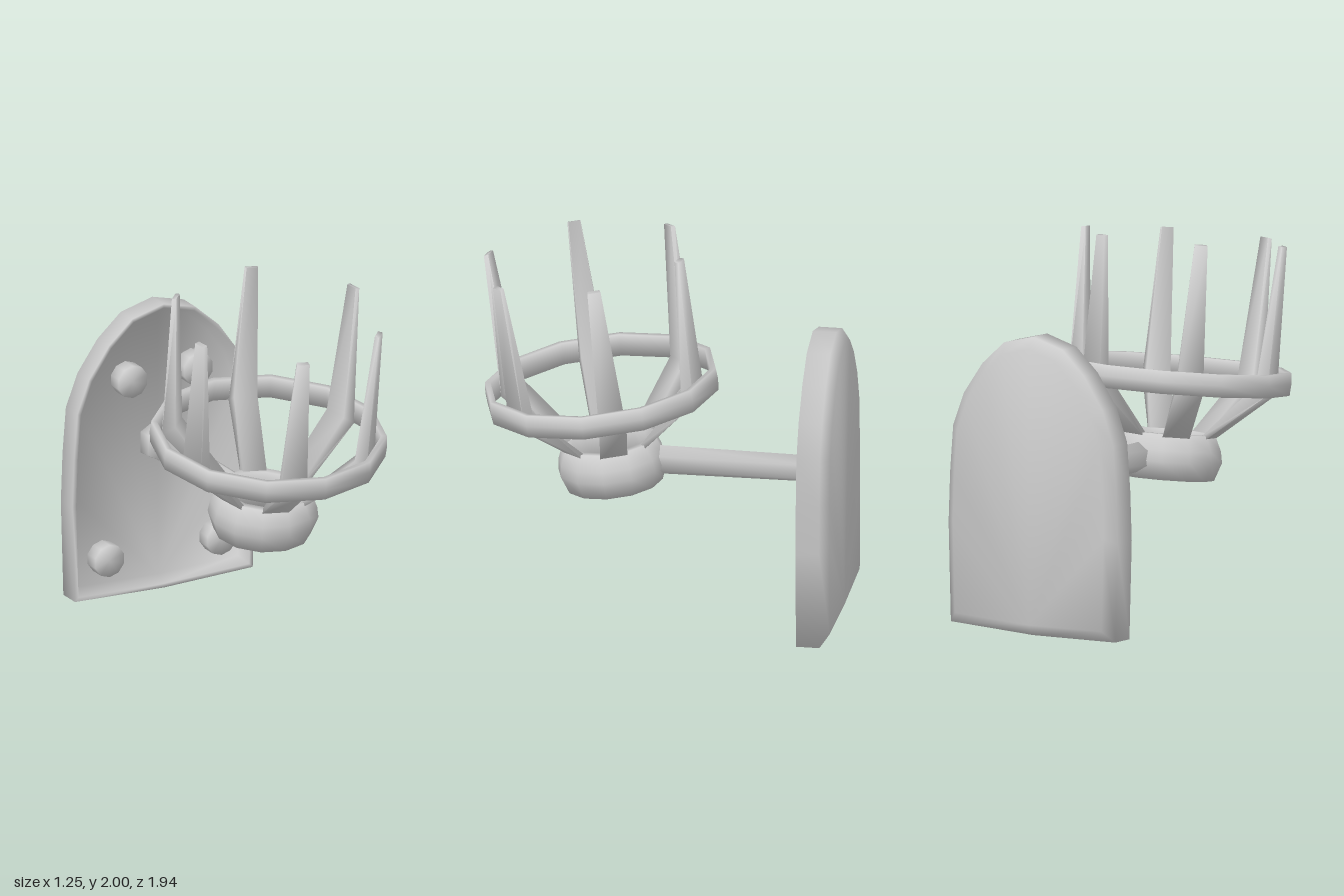
import * as THREE from 'three';
import { toCreasedNormals } from 'three/addons/utils/BufferGeometryUtils.js';

const material = new THREE.MeshStandardMaterial({ color: 0xcccccc, side: THREE.DoubleSide });

// Soft shading across every edge up to a right angle
function part(name, geometry) {
  const mesh = new THREE.Mesh(toCreasedNormals(geometry, 1.7), material);
  mesh.name = name;
  return mesh;
}

// Skins a list of equal-length loops (counter-clockwise seen from the last loop) and caps both ends.
function loft(loops) {
  const n = loops[0].length;
  const positions = loops.flat(2);
  const index = [];
  for (let s = 0; s < loops.length - 1; s++) {
    for (let i = 0; i < n; i++) {
      const a = s * n + i, b = s * n + (i + 1) % n;
      index.push(a, b, b + n, a, b + n, a + n);
    }
  }
  const last = (loops.length - 1) * n;
  for (let i = 1; i < n - 1; i++) {
    index.push(0, i + 1, i, last, last + i, last + i + 1);
  }
  const geometry = new THREE.BufferGeometry();
  geometry.setAttribute('position', new THREE.Float32BufferAttribute(positions, 3));
  geometry.setIndex(index);
  return geometry;
}

// Closed ring-shaped lathe from a profile of [radius, height]
function closedLathe(profile, sides) {
  const points = [...profile, profile[0]].map(([r, y]) => new THREE.Vector2(r, y));
  return new THREE.LatheGeometry(points, sides);
}

// Arched plate: bevelled back, narrow rim and a shallow dish at the front
function createWallPlate() {
  // Right half of the arched outline, bottom to top, then mirrored
  const half = [[0.535, 0.02], [0.55, 0.55], [0.54, 0.82], [0.52, 1.07], [0.45, 1.25], [0.33, 1.42], [0.19, 1.545]];
  const outline = [[0, 0.003], ...half, [0, 1.595], ...half.map(([x, y]) => [-x, y]).reverse()];
  const loop = (z, sx, sy) => outline.map(([x, y]) => [x * sx, 0.8 + (y - 0.8) * sy, z]);
  return part('wallPlate', loft([
    loop(-0.97, 0.89, 0.925),
    loop(-0.925, 1, 1),
    loop(-0.8, 1, 1),
    loop(-0.8, 0.96, 0.973),
    loop(-0.865, 0.9, 0.93),
  ]));
}

function createProng() {
  // Each station: outer [radius, y], inner [radius, y], width
  const stations = [
    [[0.225, 0.085], [0.205, 0.105], 0.145],
    [[0.56, 0.36], [0.49, 0.41], 0.145],
    [[0.567, 1.142], [0.543, 1.147], 0.07],
  ];
  return loft(stations.map(([[ro, yo], [ri, yi], w]) => [
    [-w / 2, yo, ro],
    [w / 2, yo, ro],
    [w * 0.44, yi, ri],
    [-w * 0.44, yi, ri],
  ]));
}

export function createModel() {
  const model = new THREE.Group();
  model.name = 'wallTorchHolder';
  model.add(createWallPlate());

  // Rivets standing in the dish
  for (const side of [-1, 1]) {
    for (const [x, y] of [[0.337, 0.22], [0.197, 1.2]]) {
      const rivet = part('rivet', new THREE.CylinderGeometry(0.09, 0.09, 0.1, 10));
      rivet.rotation.x = Math.PI / 2;
      rivet.position.set(side * x, y, -0.83);
      model.add(rivet);
    }
  }

  // Hexagonal arm from the plate to the cup, with a flange at its foot
  const arm = part('arm', new THREE.CylinderGeometry(0.08, 0.073, 0.9, 6));
  arm.rotation.x = Math.PI / 2;
  arm.scale.x = 0.93;
  arm.position.set(0, 0.817, -0.42);
  model.add(arm);

  const flange = part('armFlange', new THREE.CylinderGeometry(0.11, 0.12, 0.08, 6));
  flange.rotation.x = Math.PI / 2;
  flange.position.set(0, 0.817, -0.835);
  model.add(flange);

  // Basket, leaning forward
  const basket = new THREE.Group();
  basket.name = 'basket';
  basket.position.set(0, 0.8, 0.27);
  basket.rotation.x = THREE.MathUtils.degToRad(7.5);
  model.add(basket);

  basket.add(part('cup', closedLathe([
    [0.215, -0.125], [0.257, -0.127], [0.292, -0.03], [0.282, 0.03], [0.245, 0.113], [0.2, 0.113],
  ], 12)));

  const hoop = part('hoop', closedLathe([
    [0.59, -0.06], [0.62, -0.062], [0.625, 0], [0.62, 0.06], [0.59, 0.058],
  ], 12));
  hoop.position.y = 0.415;
  basket.add(hoop);

  // Six bent prongs
  for (let i = 0; i < 6; i++) {
    const prong = part('prong', createProng());
    prong.rotation.y = THREE.MathUtils.degToRad(-15 + i * 60);
    basket.add(prong);
  }
  return model;
}
